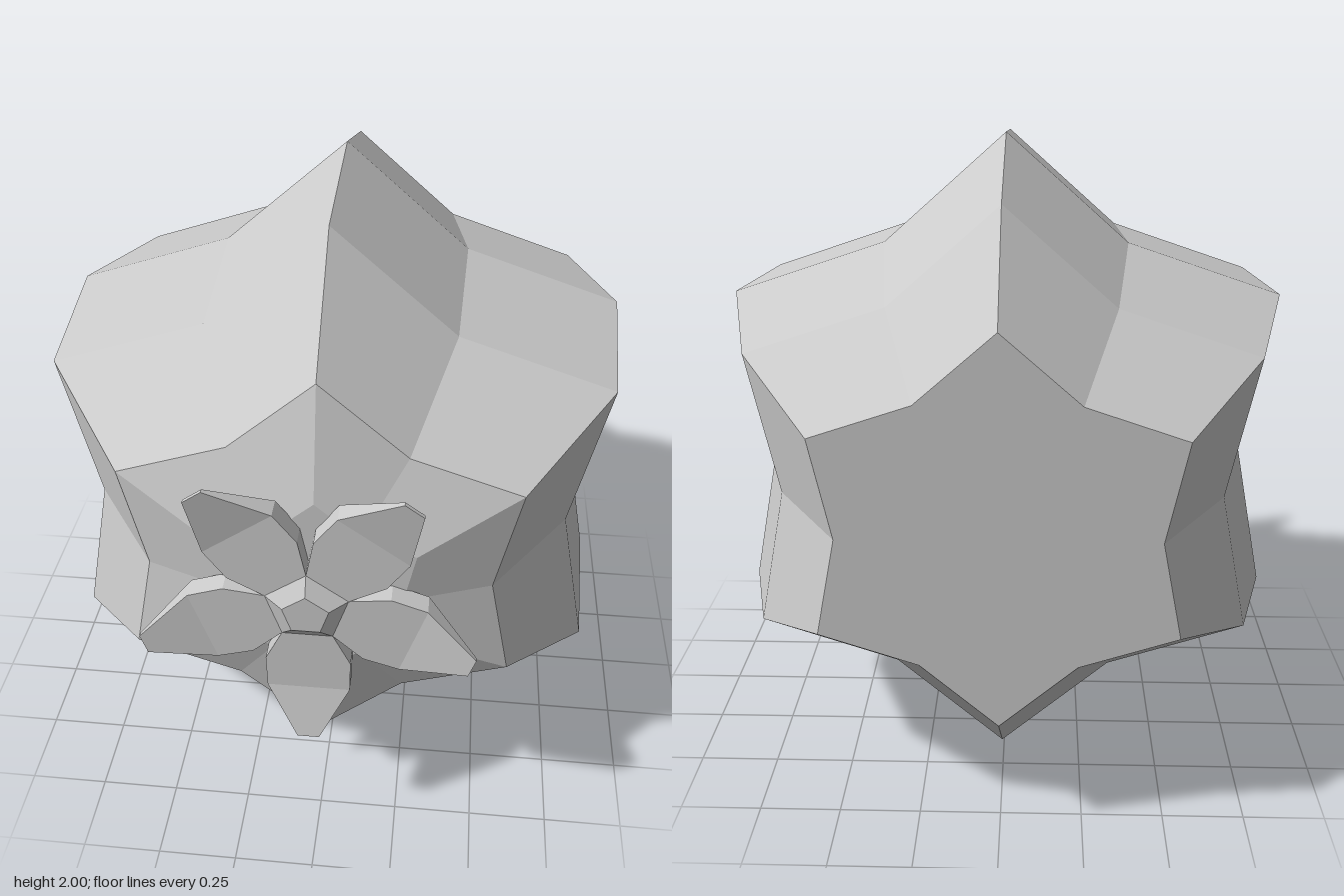
import * as THREE from 'three';

const material = new THREE.MeshStandardMaterial({ color: 0xcccccc, flatShading: true });

// Skins a list of closed cross-sections (counter-clockwise about the travel direction) and caps both ends.
function loft(name, rings) {
  const pos = [];
  const tri = (...pts) => pts.forEach((p) => pos.push(p.x, p.y, p.z));
  const n = rings[0].length;
  for (let i = 0; i < rings.length - 1; i++) {
    for (let j = 0; j < n; j++) {
      const k = (j + 1) % n;
      const a = rings[i][j], b = rings[i][k], c = rings[i + 1][k], d = rings[i + 1][j];
      tri(a, b, c, a, c, d);
    }
  }
  const centre = (ring) => ring.reduce((s, p) => s.add(p), new THREE.Vector3()).divideScalar(n);
  const first = rings[0], last = rings[rings.length - 1];
  const c0 = centre(first), c1 = centre(last);
  for (let j = 0; j < n; j++) {
    const k = (j + 1) % n;
    tri(c0, first[k], first[j], c1, last[j], last[k]);
  }
  const geometry = new THREE.BufferGeometry();
  geometry.setAttribute('position', new THREE.Float32BufferAttribute(pos, 3));
  geometry.computeVertexNormals();
  const mesh = new THREE.Mesh(geometry, material);
  mesh.name = name;
  return mesh;
}

// Ring of points around z, one corner pointing up; every second corner is pulled in by `inset`.
function ring(radius, z, sides, inset = 1) {
  return Array.from({ length: sides }, (_, i) => {
    const a = Math.PI / 2 + (i / sides) * Math.PI * 2;
    const r = i % 2 ? radius * inset : radius;
    return new THREE.Vector3(Math.cos(a) * r, Math.sin(a) * r, z);
  });
}

export function createModel() {
  const model = new THREE.Group();
  model.name = 'ribbedFruit';

  // Six-ribbed body: [z, rib radius] from the flat back to the front
  const profile = [[-0.89, 0.585], [-0.57, 0.855], [-0.11, 0.998], [0.385, 0.955], [0.71, 0.66], [0.8, 0.33]];
  const body = loft('body', profile.map(([z, r]) => ring(r, z, 12, 0.765)));
  body.position.y = 1;
  model.add(body);

  // Flower on the front
  const flower = new THREE.Group();
  flower.name = 'flower';
  flower.position.set(-0.017, 1, 0);
  model.add(flower);

  // Bevelled five-sided centre
  flower.add(loft('flowerCentre', [ring(0.125, 0.79, 5), ring(0.125, 0.86, 5), ring(0.07, 0.892, 5)]));

  // Petals: [distance out, half width, back z, front z], tips curling forward
  const sections = [
    [0.1, 0.073, 0.795, 0.86],
    [0.21, 0.125, 0.795, 0.86],
    [0.32, 0.123, 0.795, 0.86],
    [0.5, 0.033, 0.882, 0.895],
  ];
  for (let i = 0; i < 5; i++) {
    const petal = loft('petal', sections.map(([r, w, back, front]) => [
      new THREE.Vector3(-w, -r, back),
      new THREE.Vector3(w, -r, back),
      new THREE.Vector3(w, -r, front),
      new THREE.Vector3(-w, -r, front),
    ]));
    petal.rotation.z = (i / 5) * Math.PI * 2;
    flower.add(petal);
  }

  return model;
}
